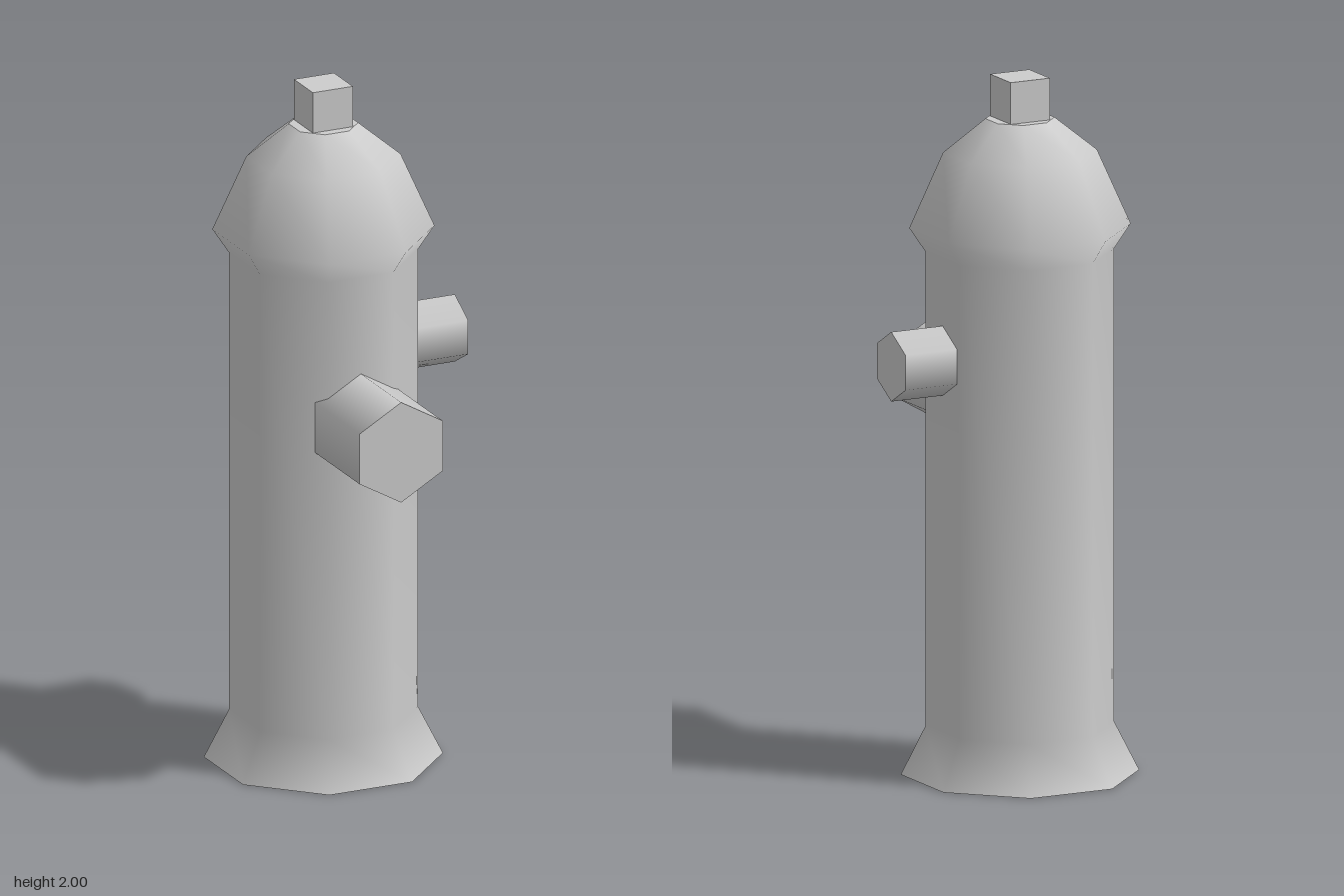
import * as THREE from 'three';

export function createModel() {
  const model = new THREE.Group();
  model.name = 'fireHydrant';
  const paint = new THREE.MeshStandardMaterial({ color: 0xcccccc });
  paint.name = 'light grey';

  const add = (name, geometry, x, y, z) => {
    const mesh = new THREE.Mesh(geometry, paint);
    mesh.name = name;
    mesh.position.set(x, y, z);
    model.add(mesh);
  };

  // The eight-sided column stands off centre to balance the outlets
  const cx = -0.05, cz = -0.1, turn = Math.PI / 8;
  const toCorner = 1 / Math.cos(turn);

  // Flared foot, barrel and bonnet: [distance to flat side, height]
  const profile = [
    [0.31, 0], [0.245, 0.14], [0.245, 1.5],
    [0.288, 1.57], [0.2, 1.785], [0.09, 1.88],
  ].map(([r, y]) => new THREE.Vector2(r * toCorner, y));
  add('body', new THREE.LatheGeometry(profile, 8, turn), cx, 0, cz);

  // Flat closures of the column
  const disc = (r, tilt) => new THREE.CircleGeometry(r * toCorner, 8, turn).rotateX(tilt);
  add('underside', disc(0.31, Math.PI / 2), cx, 0, cz);
  add('bonnetTop', disc(0.09, -Math.PI / 2), cx, 1.88, cz);

  // Square operating nut
  add('topNut', new THREE.BoxGeometry(0.124, 0.14, 0.124), cx, 1.93, cz);

  // Six-sided outlets with a corner pointing up, sunk into the barrel
  const outlet = (r, length, start) => new THREE.CylinderGeometry(r, r, length, 6, 1, false, start);
  add('frontOutlet', outlet(0.149, 0.41, 0).rotateX(Math.PI / 2), cx, 1.064, 0.203);
  add('sideOutlet', outlet(0.1, 0.3, Math.PI / 2).rotateZ(-Math.PI / 2), 0.208, 1.208, cz);

  return model;
}
